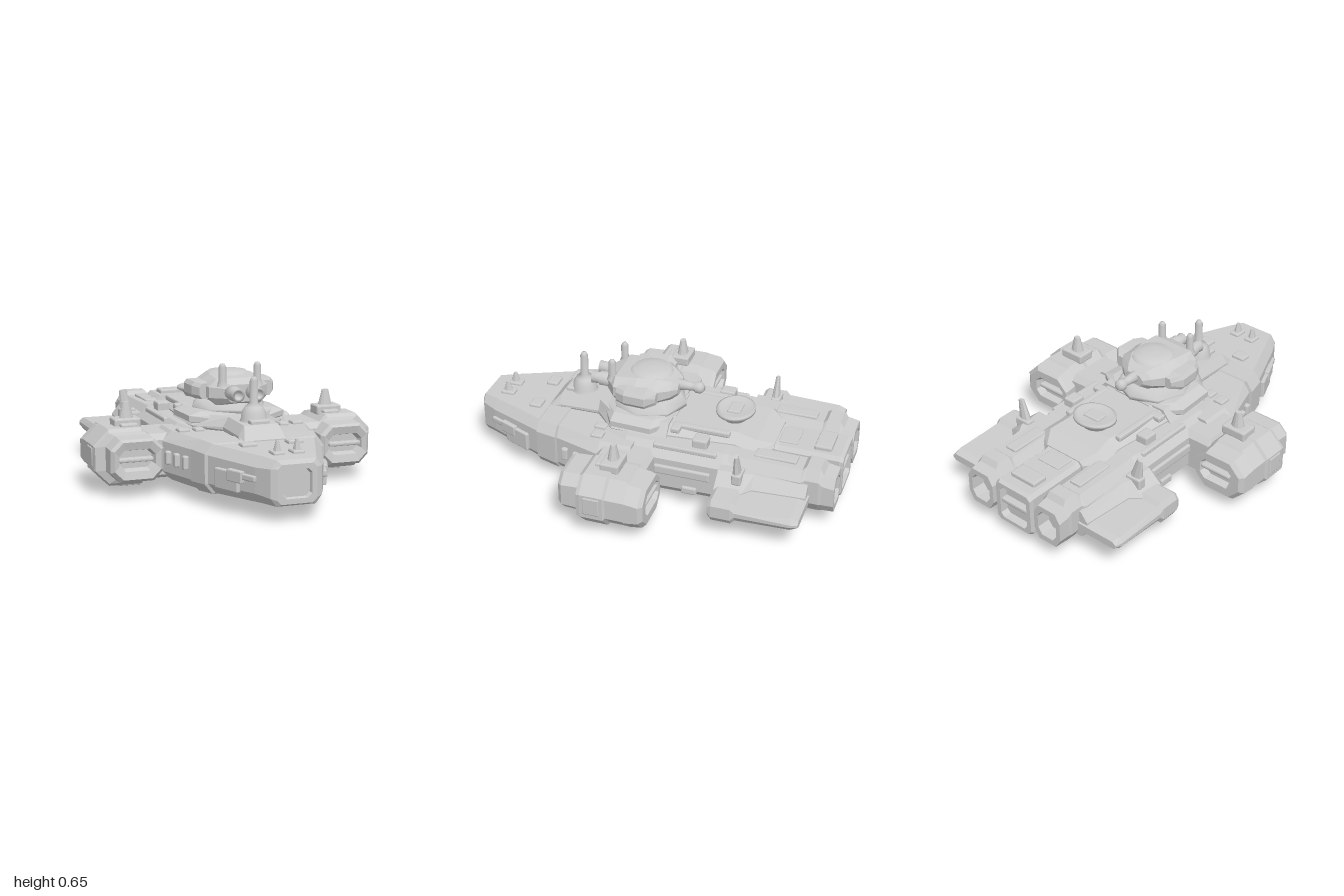
import * as THREE from 'three';
import { RoundedBoxGeometry } from 'three/addons/geometries/RoundedBoxGeometry.js';

const mat = new THREE.MeshStandardMaterial({ color: 0xcccccc, flatShading: true });
const smooth = new THREE.MeshStandardMaterial({ color: 0xcccccc });

// Skin chamfered eight-sided sections running from front to back.
// Section: [z, halfWidth, yBottom, yTop, chamferX, chamferY, centreX]
function loft(sections) {
  const rings = sections.map(([z, w, y0, y1, a = 0.02, b = 0.02, cx = 0]) => [
    [w, y0 + b], [w, y1 - b], [w - a, y1], [a - w, y1],
    [-w, y1 - b], [-w, y0 + b], [a - w, y0], [w - a, y0],
  ].map(([x, y]) => [x + cx, y, z]));
  const pos = [];
  const tri = (...p) => p.forEach((v) => pos.push(...v));
  for (let r = 0; r < rings.length - 1; r++) {
    const f = rings[r], k = rings[r + 1];
    for (let i = 0; i < 8; i++) {
      const j = (i + 1) % 8;
      tri(f[i], k[i], k[j]);
      tri(f[i], k[j], f[j]);
    }
  }
  const first = rings[0], last = rings[rings.length - 1];
  for (let i = 1; i < 7; i++) {
    tri(first[0], first[i], first[i + 1]);
    tri(last[0], last[i + 1], last[i]);
  }
  const g = new THREE.BufferGeometry();
  g.setAttribute('position', new THREE.Float32BufferAttribute(pos, 3));
  g.computeVertexNormals();
  return g;
}

export function createModel() {
  const ship = new THREE.Group();
  ship.name = 'starship';
  const add = (name, geo, x = 0, y = 0, z = 0, m = mat) => {
    const mesh = new THREE.Mesh(geo, m);
    mesh.name = name;
    mesh.position.set(x, y, z);
    ship.add(mesh);
    return mesh;
  };
  const box = (name, x, y, z, w, h, d, r = 0.008) =>
    add(name, new RoundedBoxGeometry(w, h, d, 1, Math.min(r, w / 3, h / 3, d / 3)), x, y, z);
  const lathe = (name, pts, x, y, z, n = 24) =>
    add(name, new THREE.LatheGeometry(pts.map((p) => new THREE.Vector2(...p)), n), x, y, z, smooth);

  // Wedge nose with a recessed front panel
  add('noseHull', loft([
    [0.98, 0.07, 0.12, 0.25], [1, 0.075, 0.115, 0.255], [1, 0.1, 0.09, 0.28],
    [0.985, 0.13, 0.08, 0.3, 0.03, 0.04], [0.9, 0.175, 0.08, 0.305, 0.04, 0.05],
    [0.6, 0.3, 0.07, 0.31, 0.04, 0.05], [0.595, 0.315, 0.065, 0.315, 0.04, 0.05],
    [0.48, 0.345, 0.06, 0.32, 0.04, 0.05], [0.475, 0.33, 0.06, 0.312, 0.04, 0.05],
    [0.22, 0.41, 0.06, 0.315, 0.05, 0.05], [0.05, 0.41, 0.06, 0.315, 0.05, 0.05],
  ]));
  // Long middle hull and raised spine
  add('middleHull', loft([
    [0.25, 0.3, 0.05, 0.32, 0.06, 0.06], [0.1, 0.35, 0.04, 0.33, 0.06, 0.06],
    [-0.42, 0.35, 0.05, 0.33, 0.06, 0.06], [-0.6, 0.33, 0.07, 0.32, 0.06, 0.06],
  ]));
  add('forwardSpine', loft([
    [0.6, 0.13, 0.27, 0.315], [0.54, 0.12, 0.27, 0.38, 0.03, 0.05],
    [0.32, 0.12, 0.27, 0.385, 0.03, 0.05], [0.2, 0.25, 0.27, 0.39, 0.05, 0.06],
    [-0.1, 0.25, 0.27, 0.39, 0.05, 0.06],
  ]));
  add('rearSpine', loft([
    [0, 0.24, 0.27, 0.38, 0.05, 0.04], [-0.45, 0.2, 0.27, 0.375, 0.06, 0.04],
    [-0.56, 0.22, 0.25, 0.36, 0.06, 0.04], [-0.64, 0.13, 0.2, 0.325],
  ]));
  add('bellyPod', loft([
    [0.6, 0.07, 0.04, 0.09, 0.02, 0.015], [0.56, 0.11, 0.015, 0.1, 0.04, 0.03],
    [0.48, 0.13, 0, 0.1, 0.05, 0.03], [0.36, 0.13, 0, 0.1, 0.05, 0.03],
    [0.27, 0.1, 0.035, 0.1, 0.04, 0.02],
  ]));
  add('keel', loft([
    [0.3, 0.12, 0.04, 0.1], [0.15, 0.24, 0.03, 0.1], [-0.1, 0.24, 0.03, 0.1], [-0.4, 0.14, 0.045, 0.1],
  ]));

  // Turret, its plinth, guns and masts
  add('turretPlinth', loft([
    [0.28, 0.12, 0.33, 0.385, 0.03, 0.02], [0.2, 0.26, 0.33, 0.4, 0.06, 0.02],
    [-0.02, 0.27, 0.33, 0.4, 0.06, 0.02], [-0.11, 0.14, 0.33, 0.385, 0.03, 0.02],
  ]));
  lathe('turretRing', [[0, 0], [0.2, 0], [0.2, 0.02], [0.17, 0.06], [0, 0.06]], 0, 0.385, 0.07, 8);
  add('turretHead', loft([
    [0.28, 0.08, 0.45, 0.54, 0.02, 0.02], [0.22, 0.16, 0.43, 0.565, 0.04, 0.04],
    [0.1, 0.175, 0.43, 0.575, 0.06, 0.045], [0, 0.165, 0.43, 0.575, 0.07, 0.045],
    [-0.07, 0.1, 0.45, 0.55, 0.04, 0.03], [-0.1, 0.06, 0.47, 0.53],
  ]));
  lathe('turretCap', [[0.115, 0], [0.1, 0.018], [0.05, 0.025], [0, 0.027]], 0, 0.565, 0.06, 16);
  const barrel = lathe('rearBarrel', [[0, 0], [0.032, 0], [0.022, 0.08], [0.022, 0.1],
    [0.03, 0.11], [0.03, 0.135], [0.018, 0.15], [0, 0.15]], 0, 0.51, -0.075);
  barrel.rotation.x = -Math.PI / 2;
  for (const s of [-1, 1]) {
    add('turretCheek', loft([
      [0.19, 0.03, 0.46, 0.54, 0.015, 0.02, s * 0.17], [0.14, 0.045, 0.46, 0.545, 0.015, 0.02, s * 0.18],
      [0.03, 0.05, 0.46, 0.545, 0.015, 0.02, s * 0.18], [-0.02, 0.025, 0.47, 0.53, 0.01, 0.02, s * 0.16],
    ]));
    const gun = lathe('turretGun', [[0, 0], [0.038, 0], [0.038, 0.06], [0.03, 0.07],
      [0.034, 0.105], [0.02, 0.105], [0.02, 0.08], [0, 0.08]], s * 0.055, 0.5, 0.265, 16);
    gun.rotation.x = Math.PI / 2;
    lathe('turretMast', [[0.03, 0], [0.02, 0.03], [0.02, 0.1], [0.012, 0.115], [0, 0.12]], s * 0.095, 0.53, 0.245, 12);
  }
  lathe('domeAntenna', [[0.075, 0], [0.065, 0.02], [0.062, 0.05], [0.045, 0.08], [0.022, 0.1],
    [0.021, 0.21], [0.012, 0.228], [0, 0.23]], 0, 0.375, 0.44);
  box('antennaStep', 0, 0.385, 0.5, 0.1, 0.03, 0.06);

  // Round deck hatch
  const hatch = lathe('deckHatch', [[0.07, 0], [0.09, 0.03], [0.12, 0.045], [0.12, 0.06],
    [0.1, 0.068], [0.085, 0.055], [0, 0.055]], 0, 0.37, -0.4, 28);
  hatch.scale.z = 0.85;
  box('hatchBar', 0, 0.425, -0.4, 0.1, 0.02, 0.07);

  // Central tail engine with recessed exhaust
  add('tailBlock', loft([
    [-0.55, 0.12, 0.07, 0.34], [-0.66, 0.12, 0.07, 0.315], [-0.98, 0.122, 0.07, 0.315],
    [-1, 0.115, 0.08, 0.305], [-1, 0.09, 0.1, 0.285], [-0.96, 0.085, 0.105, 0.28],
  ]));
  box('exhaustBar', 0, 0.2, -0.97, 0.18, 0.025, 0.05);
  box('tailTopPanel', 0, 0.32, -0.885, 0.16, 0.035, 0.09);
  box('tailTopPlate', 0, 0.315, -0.7, 0.14, 0.015, 0.1);
  add('tailKeel', loft([[-0.59, 0.08, 0.04, 0.09], [-0.62, 0.1, 0.01, 0.09], [-0.9, 0.1, 0.01, 0.09], [-0.93, 0.08, 0.035, 0.09]]));

  for (const s of [-1, 1]) {
    const X = (x) => s * x;
    // Side engines with hollow octagonal nozzles
    add('sideEngine', loft([
      [-0.45, 0.1, 0.07, 0.33, 0.04, 0.05, X(0.23)], [-0.83, 0.1, 0.07, 0.32, 0.04, 0.05, X(0.23)],
      [-0.85, 0.092, 0.09, 0.34, 0.04, 0.06, X(0.227)], [-0.92, 0.092, 0.09, 0.34, 0.04, 0.06, X(0.227)],
      [-0.94, 0.088, 0.1, 0.31, 0.03, 0.05, X(0.227)], [-1, 0.085, 0.1, 0.3, 0.03, 0.05, X(0.227)],
      [-1, 0.06, 0.13, 0.27, 0.025, 0.035, X(0.227)], [-0.93, 0.055, 0.135, 0.265, 0.025, 0.035, X(0.227)],
    ]));
    // Rear wing, its thick leading ridge, root fairing and fin
    add('rearWing', loft([
      [-0.42, 0.15, 0.13, 0.22, 0.02, 0.03, X(0.42)], [-0.44, 0.155, 0.11, 0.235, 0.02, 0.03, X(0.42)],
      [-0.54, 0.155, 0.11, 0.235, 0.02, 0.03, X(0.42)], [-0.56, 0.15, 0.13, 0.215, 0.02, 0.03, X(0.42)],
      [-0.84, 0.15, 0.14, 0.205, 0.02, 0.025, X(0.42)], [-0.88, 0.135, 0.155, 0.195, 0.02, 0.015, X(0.425)],
    ]));
    add('wingRoot', loft([
      [-0.42, 0.14, 0.09, 0.29, 0.08, 0.07, X(0.32)], [-0.56, 0.13, 0.09, 0.29, 0.08, 0.07, X(0.32)],
      [-0.6, 0.09, 0.1, 0.28, 0.05, 0.06, X(0.31)], [-0.87, 0.07, 0.11, 0.26, 0.04, 0.05, X(0.3)],
    ]));
    box('finFoot', X(0.38), 0.275, -0.525, 0.09, 0.06, 0.05);
    const fin = add('wingFin', new THREE.CylinderGeometry(0.018, 0.045, 0.16, 8), X(0.39), 0.33, -0.52);
    fin.scale.z = 0.6;
    fin.rotation.z = s * -0.2;

    // Cross arm carrying the outer pod
    add('podArm', loft([
      [0.22, 0.12, 0.09, 0.27, 0.02, 0.04, X(0.37)], [0.19, 0.12, 0.07, 0.3, 0.02, 0.05, X(0.37)],
      [-0.04, 0.12, 0.07, 0.3, 0.02, 0.05, X(0.37)], [-0.07, 0.12, 0.09, 0.27, 0.02, 0.04, X(0.37)],
    ]));
    // Stepped pod with slots recessed at both ends
    add('outerPod', loft([
      [0.27, 0.085, 0.15, 0.24, 0.025, 0.025, X(0.567)], [0.31, 0.095, 0.14, 0.25, 0.03, 0.03, X(0.567)],
      [0.32, 0.12, 0.1, 0.29, 0.045, 0.045, X(0.567)], [0.3, 0.137, 0.085, 0.3, 0.05, 0.05, X(0.567)],
      [0.21, 0.137, 0.08, 0.305, 0.05, 0.05, X(0.567)], [0.2, 0.155, 0.06, 0.32, 0.07, 0.07, X(0.6)],
      [0.18, 0.165, 0.045, 0.335, 0.08, 0.08, X(0.595)], [0.06, 0.165, 0.045, 0.335, 0.08, 0.08, X(0.595)],
      [0.05, 0.155, 0.055, 0.325, 0.08, 0.08, X(0.595)], [-0.04, 0.155, 0.055, 0.325, 0.08, 0.08, X(0.595)],
      [-0.05, 0.15, 0.06, 0.315, 0.07, 0.07, X(0.6)], [-0.12, 0.15, 0.07, 0.305, 0.07, 0.07, X(0.6)],
      [-0.14, 0.135, 0.085, 0.29, 0.06, 0.06, X(0.59)], [-0.14, 0.1, 0.13, 0.25, 0.03, 0.03, X(0.58)],
      [-0.1, 0.09, 0.14, 0.24, 0.03, 0.03, X(0.58)],
    ]));
    for (const z of [0.285, -0.115]) box('podSlotBar', X(0.57), 0.195, z, 0.18, 0.022, 0.04);
    box('podRoofBlock', X(0.56), 0.345, 0.07, 0.14, 0.05, 0.1);
    box('podRoofStep', X(0.56), 0.33, 0.13, 0.09, 0.04, 0.05);
    const horn = add('podHorn', new THREE.CylinderGeometry(0.018, 0.042, 0.1, 12), X(0.556), 0.4, 0.07);
    horn.scale.z = 0.8;
    box('podFootPad', X(0.56), 0.045, 0.06, 0.13, 0.035, 0.16);
    box('podSidePanel', X(0.755), 0.195, 0.12, 0.02, 0.1, 0.09);

    // Deck pads and nose horns
    for (const [x, y, z, w] of [[0.12, 0.31, 0.67, 0.08], [0.31, 0.315, 0.25, 0.06], [0.23, 0.315, 0.26, 0.05]])
      box('deckPad', X(x), y, z, w, 0.03, 0.065);
    box('noseHornFoot', X(0.05), 0.305, 0.865, 0.06, 0.03, 0.075);
    const noseHorn = add('noseHorn', new THREE.CylinderGeometry(0.01, 0.03, 0.07, 8), X(0.05), 0.335, 0.87);
    noseHorn.scale.x = 0.8;

    // Angled cheek guns and side plates following the nose
    const cheek = new THREE.Group();
    cheek.name = 'noseSideFittings';
    cheek.position.set(X(0.225), 0.195, 0.79);
    cheek.rotation.y = s * -0.4;
    ship.add(cheek);
    for (const [y, z, w, h, d] of [[0, 0, 0.04, 0.06, 0.1], [0.005, 0.06, 0.025, 0.03, 0.14], [-0.03, -0.06, 0.03, 0.1, 0.16]]) {
      const m = new THREE.Mesh(new RoundedBoxGeometry(w, h, d, 1, 0.006), mat);
      m.name = 'cheekGunPart';
      m.position.set(0, y, z);
      cheek.add(m);
    }
    for (let i = 0; i < 3; i++) box('noseRib', X(0.355 + i * 0.022), 0.19, 0.42 - i * 0.07, 0.03, 0.07, 0.035);

    // Deck rails, vents and flank panels along the middle hull
    box('deckRail', X(0.17), 0.37, -0.27, 0.035, 0.03, 0.3);
    box('deckVent', X(0.25), 0.345, -0.29, 0.07, 0.06, 0.08);
    box('deckVentSmall', X(0.2), 0.37, -0.14, 0.06, 0.03, 0.05);
    box('flankStrip', X(0.35), 0.21, -0.22, 0.03, 0.05, 0.3);
    box('flankPanel', X(0.35), 0.11, -0.26, 0.03, 0.04, 0.08);
    box('shoulderPipe', X(0.3), 0.315, -0.22, 0.03, 0.03, 0.34);
    box('bellyPanel', X(0.2), 0.05, -0.3, 0.1, 0.02, 0.16);
    box('engineTopStrip', X(0.22), 0.325, -0.68, 0.07, 0.02, 0.22);
  }
  return ship;
}
